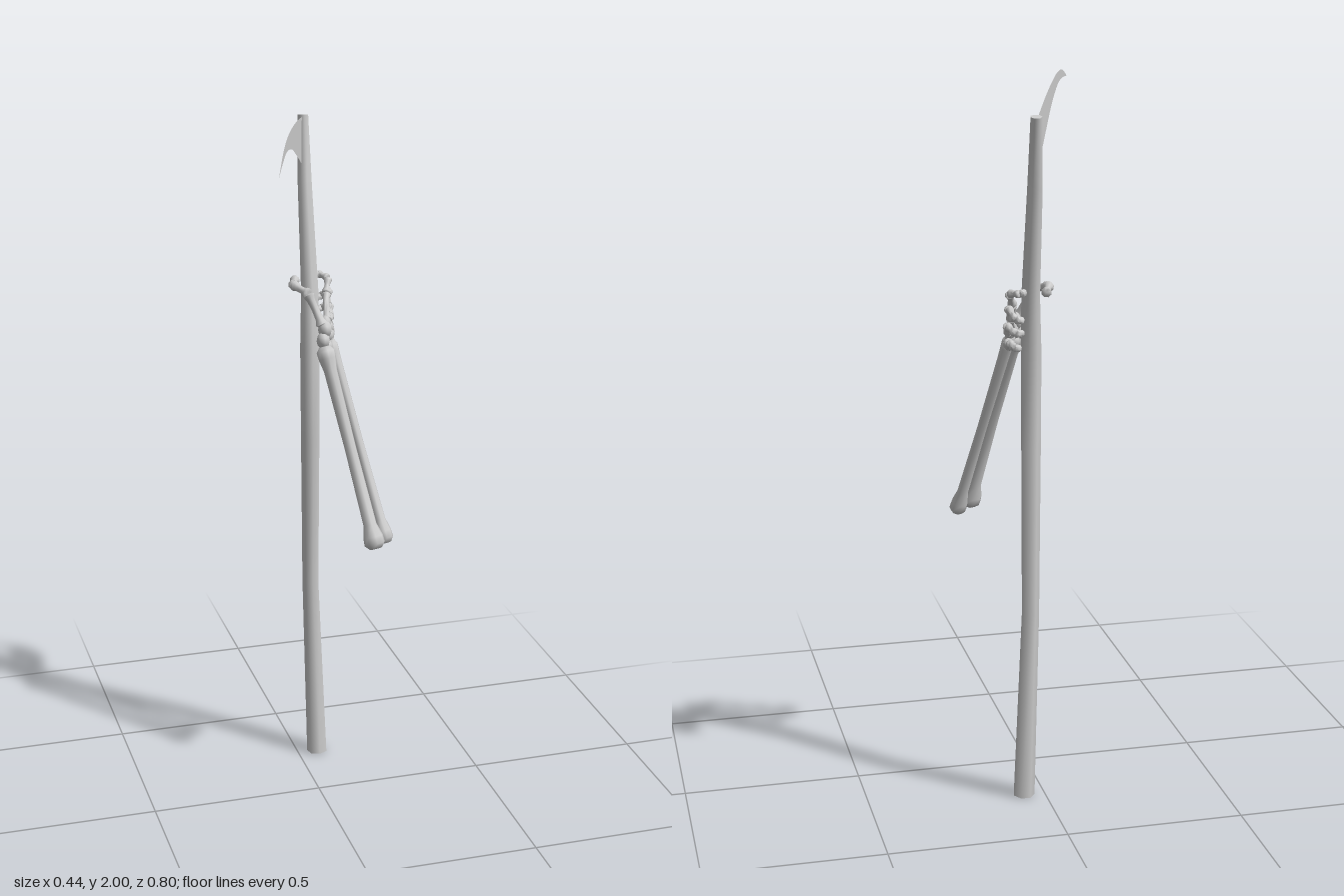
import * as THREE from 'three';
import { toCreasedNormals } from 'three/addons/utils/BufferGeometryUtils.js';

const V = (p) => new THREE.Vector3(...p);
const UP = new THREE.Vector3(0, 1, 0);
const grey = new THREE.MeshStandardMaterial({ color: 0xcccccc });

// Closed round loft: one ring of the given radius at each path point (start to end)
function loft(points, radii, sides) {
  const n = points.length - 1;
  const geo = new THREE.CylinderGeometry(1, 1, 1, sides, n);
  const pos = geo.attributes.position;
  const frames = points.map((p, i) => {
    const dir = points[Math.min(i + 1, n)].clone().sub(points[Math.max(i - 1, 0)]).normalize();
    return new THREE.Quaternion().setFromUnitVectors(UP, dir);
  });
  const v = new THREE.Vector3();
  for (let k = 0; k < pos.count; k++) {
    v.fromBufferAttribute(pos, k);
    const i = Math.round((v.y + 0.5) * n);
    v.y = 0;
    v.multiplyScalar(radii[i]).applyQuaternion(frames[i]).add(points[i]);
    pos.setXYZ(k, v.x, v.y, v.z);
  }
  return toCreasedNormals(geo, 1.15);
}

function addMesh(parent, name, geo, mat = grey) {
  const mesh = new THREE.Mesh(geo, mat);
  mesh.name = name;
  parent.add(mesh);
  return mesh;
}

// Straight bone: slim shaft with a knob at both ends; knob is the knob length
function bone(parent, name, a, b, rStart, rShaft, rEnd, knob) {
  const A = V(a), B = V(b);
  const k = knob / A.distanceTo(B);
  const steps = [0, k * 0.4, k, k * 2, 0.5, 1 - k * 2, 1 - k, 1 - k * 0.4, 1];
  const radii = [rStart * 0.6, rStart, rStart * 0.95, rShaft * 1.15, rShaft,
    rShaft * 1.15, rEnd * 0.95, rEnd, rEnd * 0.6];
  addMesh(parent, name, loft(steps.map((t) => A.clone().lerp(B, t)), radii, 8));
}

export function createModel() {
  const model = new THREE.Group();
  model.name = 'scytheAndArm';

  // Crooked wooden staff: x, y, z, radius
  const staff = [
    [0.06, 0, -0.228, 0.031], [0.05, 0.56, -0.263, 0.025], [0.042, 1.03, -0.234, 0.028],
    [0.045, 1.3, -0.247, 0.029], [0.053, 1.46, -0.275, 0.026],
    [0.061, 1.76, -0.355, 0.021], [0.065, 1.95, -0.389, 0.016],
  ];
  addMesh(model, 'staff', loft(staff.map((p) => V(p)), staff.map((p) => p[3]), 7));

  // Thin blade drawn along its length, then turned into its upright plane
  const outline = new THREE.Shape();
  outline.moveTo(0, 1.945);
  outline.splineThru([[0.19, 1.972], [0.38, 1.992], [0.55, 2.0], [0.69, 1.99], [0.827, 1.958]]
    .map((p) => new THREE.Vector2(...p)));
  outline.splineThru([[0.69, 1.968], [0.55, 1.966], [0.38, 1.934], [0.21, 1.88], [0.03, 1.818]]
    .map((p) => new THREE.Vector2(...p)));
  outline.closePath();
  const blade = addMesh(model, 'blade', new THREE.ShapeGeometry(outline, 4),
    new THREE.MeshStandardMaterial({ color: 0xcccccc, side: THREE.DoubleSide }));
  blade.position.set(0.06, 0, -0.382);
  blade.rotation.y = -Math.atan2(0.779, -0.277);

  // Two forearm bones
  const forearm = new THREE.Group();
  forearm.name = 'forearm';
  model.add(forearm);
  bone(forearm, 'radius', [0.153, 0.785, 0.06], [0.058, 1.335, -0.145], 0.031, 0.017, 0.027, 0.035);
  bone(forearm, 'ulna', [0.198, 0.78, 0.016], [0.092, 1.335, -0.2], 0.025, 0.014, 0.018, 0.035);

  // Wrist pebbles: x, y, z, size
  const hand = new THREE.Group();
  hand.name = 'hand';
  model.add(hand);
  const wrist = [
    [0.062, 1.345, -0.17, 0.022], [0.078, 1.32, -0.19, 0.02], [0.07, 1.375, -0.18, 0.023],
    [0.085, 1.35, -0.205, 0.02], [0.096, 1.32, -0.215, 0.018], [0.08, 1.385, -0.21, 0.019],
    [0.094, 1.365, -0.232, 0.018], [0.1, 1.34, -0.238, 0.017],
  ];
  for (const [x, y, z, r] of wrist) {
    const pebble = addMesh(hand, 'wristBone', new THREE.SphereGeometry(r, 8, 6));
    pebble.position.set(x, y, z);
    pebble.scale.set(0.9, 1.1, 1);
  }

  // Digits: joint positions from the wrist to the tip
  const digits = {
    thumb: [[0.064, 1.385, -0.182], [0.033, 1.47, -0.222], [0.003, 1.485, -0.275],
      [0.024, 1.482, -0.335]],
    indexFinger: [[0.085, 1.39, -0.21], [0.106, 1.445, -0.295], [0.122, 1.482, -0.328],
      [0.102, 1.488, -0.362], [0.085, 1.488, -0.348]],
    middleFinger: [[0.096, 1.372, -0.232], [0.112, 1.41, -0.305], [0.126, 1.445, -0.335],
      [0.114, 1.42, -0.366], [0.092, 1.415, -0.355]],
    ringFinger: [[0.1, 1.352, -0.24], [0.12, 1.375, -0.305], [0.13, 1.398, -0.338],
      [0.114, 1.383, -0.367], [0.092, 1.38, -0.352]],
    littleFinger: [[0.1, 1.33, -0.238], [0.118, 1.337, -0.29], [0.122, 1.35, -0.32],
      [0.112, 1.34, -0.345], [0.095, 1.335, -0.335]],
  };
  for (const [name, joints] of Object.entries(digits)) {
    const digit = new THREE.Group();
    digit.name = name;
    hand.add(digit);
    const size = name === 'thumb' ? 1.25 : 1;
    for (let i = 0; i < joints.length - 1; i++) {
      const r = size * (0.0145 - 0.0012 * i);
      bone(digit, 'fingerBone', joints[i], joints[i + 1], r, r * 0.6, r * 0.95, 0.009);
    }
  }
  return model;
}
